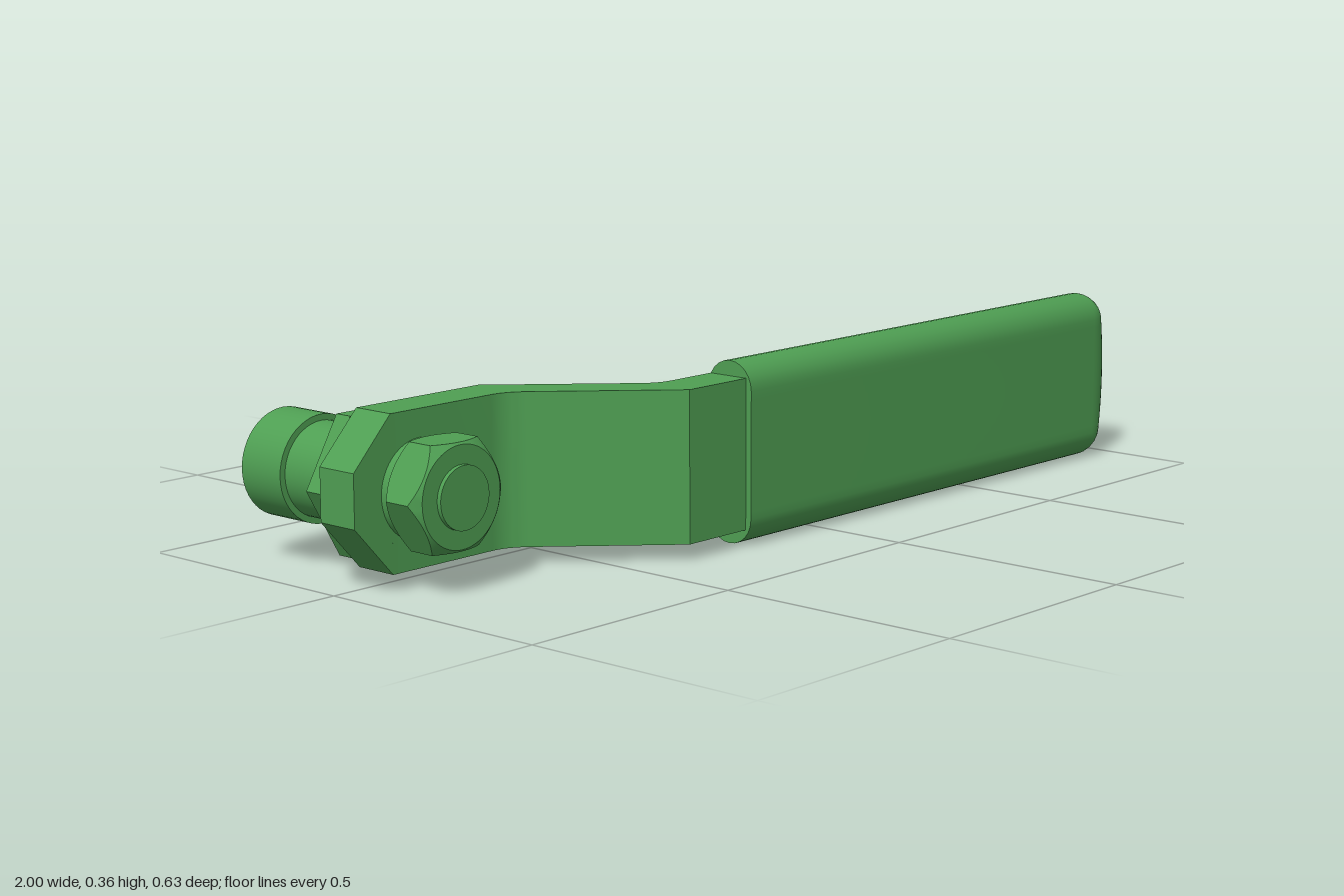
import * as THREE from 'three';
import { toCreasedNormals } from 'three/addons/utils/BufferGeometryUtils.js';

const AXIS = { x: -0.84, y: 0.182 };
const material = new THREE.MeshStandardMaterial({ color: 0x4f9f53 });

function add(group, name, geometry) {
  const mesh = new THREE.Mesh(geometry, material);
  mesh.name = name;
  group.add(mesh);
  return mesh;
}

// Turned part on the pivot axis, between two z values
function turned(group, name, radius, z0, z1, sides = 48) {
  const g = new THREE.CylinderGeometry(radius, radius, z1 - z0, sides);
  if (sides === 6) g.rotateY(Math.PI / 2);
  g.rotateX(Math.PI / 2);
  const mesh = add(group, name, sides === 6 ? toCreasedNormals(g, 0.3) : g);
  mesh.position.set(AXIS.x, AXIS.y, (z0 + z1) / 2);
}

// Hexagonal nut whose corners are cut by a cone at both ends
function nutGeometry(flat, height) {
  const R = flat / Math.cos(Math.PI / 6), h = height / 2, rc = flat * 0.96;
  const profile = [[0, -h], [rc, -h], [R, -h], [R, h], [rc, h], [0, h]]
    .map(([r, y]) => new THREE.Vector2(r, y));
  const g = new THREE.LatheGeometry(profile, 72);
  const p = g.attributes.position;
  for (let i = 0; i < p.count; i++) {
    const x = p.getX(i), z = p.getZ(i), r = Math.hypot(x, z);
    if (r < R - 1e-4) continue;
    const sector = Math.PI / 3;
    const a = ((Math.atan2(z, x) % sector) + sector) % sector - sector / 2;
    const hex = flat / Math.cos(a);
    const y = Math.sign(p.getY(i)) * (h - (hex - rc) * 0.9);
    p.setXYZ(i, x / r * hex, y, z / r * hex);
  }
  g.rotateX(Math.PI / 2);
  return toCreasedNormals(g, 0.35);
}

// Sleeve with a pill section, a flat open end and a bulged rounded end
function gripGeometry() {
  const halfY = 0.1785, r = 0.054, arc = 12, rings = [[-0.22, 0, 0]];
  for (let i = 0; i <= 10; i++) {
    const t = i / 10 * Math.PI / 2;
    rings.push([0.92 + r * Math.sin(t), r * (1 - Math.cos(t)), Math.sin(t)]);
  }
  // Section as a point on the core line plus a unit direction
  const section = [];
  const straight = 16, core = halfY - r;
  for (let i = 0; i <= arc; i++) {
    const a = i / arc * Math.PI;
    section.push([core, Math.sin(a), Math.cos(a)]);
  }
  for (let i = 1; i < straight; i++) section.push([core * (1 - 2 * i / straight), 0, -1]);
  for (let i = 0; i <= arc; i++) {
    const a = Math.PI + i / arc * Math.PI;
    section.push([-core, Math.sin(a), Math.cos(a)]);
  }
  for (let i = 1; i < straight; i++) section.push([-core * (1 - 2 * i / straight), 0, 1]);

  const n = section.length, pos = [], index = [];
  for (const [x, inset, bulge] of rings) {
    for (const [c, dy, dz] of section) {
      const y = c + dy * (r - inset);
      pos.push(x + 0.026 * bulge * (1 - (y / halfY) ** 2), y, dz * (r - inset));
    }
  }
  for (let j = 0; j < rings.length - 1; j++) {
    for (let i = 0; i < n; i++) {
      const k = (i + 1) % n, a = j * n + i, b = j * n + k;
      index.push(a, b, a + n, b, b + n, a + n);
    }
  }
  // Flat end
  const centre = pos.length / 3;
  pos.push(-0.22, 0, 0);
  for (let i = 0; i < n; i++) index.push(centre, (i + 1) % n, i);

  // Rings run from +y through -z, so the winding is turned to face outward
  for (let i = 0; i < index.length; i += 3) {
    [index[i + 1], index[i + 2]] = [index[i + 2], index[i + 1]];
  }
  const g = new THREE.BufferGeometry();
  g.setAttribute('position', new THREE.Float32BufferAttribute(pos, 3));
  g.setIndex(index);

  // Check the direction of one side face and flip all faces if it points inward
  const [a, b, c] = [0, 1, 2].map(i => new THREE.Vector3().fromArray(pos, index[i] * 3));
  const normal = b.clone().sub(a).cross(c.clone().sub(a));
  if (normal.y * a.y + normal.z * a.z < 0) {
    for (let i = 0; i < index.length; i += 3) {
      [index[i + 1], index[i + 2]] = [index[i + 2], index[i + 1]];
    }
    g.setIndex(index);
  }
  return toCreasedNormals(g, 0.7);
}

export function createModel() {
  const model = new THREE.Group();
  model.name = 'leverHandle';

  // Cranked bar: side profile extruded upward
  const bar = new THREE.Shape();
  bar.moveTo(-0.91, 0.03);
  bar.lineTo(-0.91, -0.06);
  bar.lineTo(-0.66, -0.06);
  bar.quadraticCurveTo(-0.625, -0.06, -0.595, -0.088);
  bar.lineTo(-0.38, -0.3);
  bar.lineTo(0.8, -0.3);
  bar.lineTo(0.8, -0.21);
  bar.lineTo(-0.33, -0.21);
  bar.quadraticCurveTo(-0.365, -0.21, -0.39, -0.185);
  bar.lineTo(-0.605, 0.03);
  const barGeo = new THREE.ExtrudeGeometry(bar, { depth: 0.295, bevelEnabled: false, curveSegments: 8 });
  barGeo.rotateX(-Math.PI / 2);
  add(model, 'crankedBar', toCreasedNormals(barGeo, 0.4)).position.y = 0.035;

  // Clipped tip of the bar
  const tip = new THREE.Shape([[-0.91, 0.035], [-0.91, 0.33], [-1, 0.235], [-1, 0.133]]
    .map(([x, y]) => new THREE.Vector2(x, y)));
  add(model, 'barTip', new THREE.ExtrudeGeometry(tip, { depth: 0.09, bevelEnabled: false })).position.z = -0.03;

  add(model, 'grip', gripGeometry()).position.set(0, 0.1815, 0.259);

  // Pivot hardware
  turned(model, 'pivotHead', 0.104, -0.313, -0.205);
  turned(model, 'pivotShaft', 0.092, -0.205, 0);
  turned(model, 'hexFlange', 0.152, -0.077, -0.04, 6);
  turned(model, 'washer', 0.095, 0.05, 0.082);
  turned(model, 'studEnd', 0.06, 0, 0.176);
  const nut = add(model, 'nut', nutGeometry(0.1, 0.09));
  nut.position.set(AXIS.x, AXIS.y, 0.122);
  nut.rotation.z = 0;
  return model;
}
